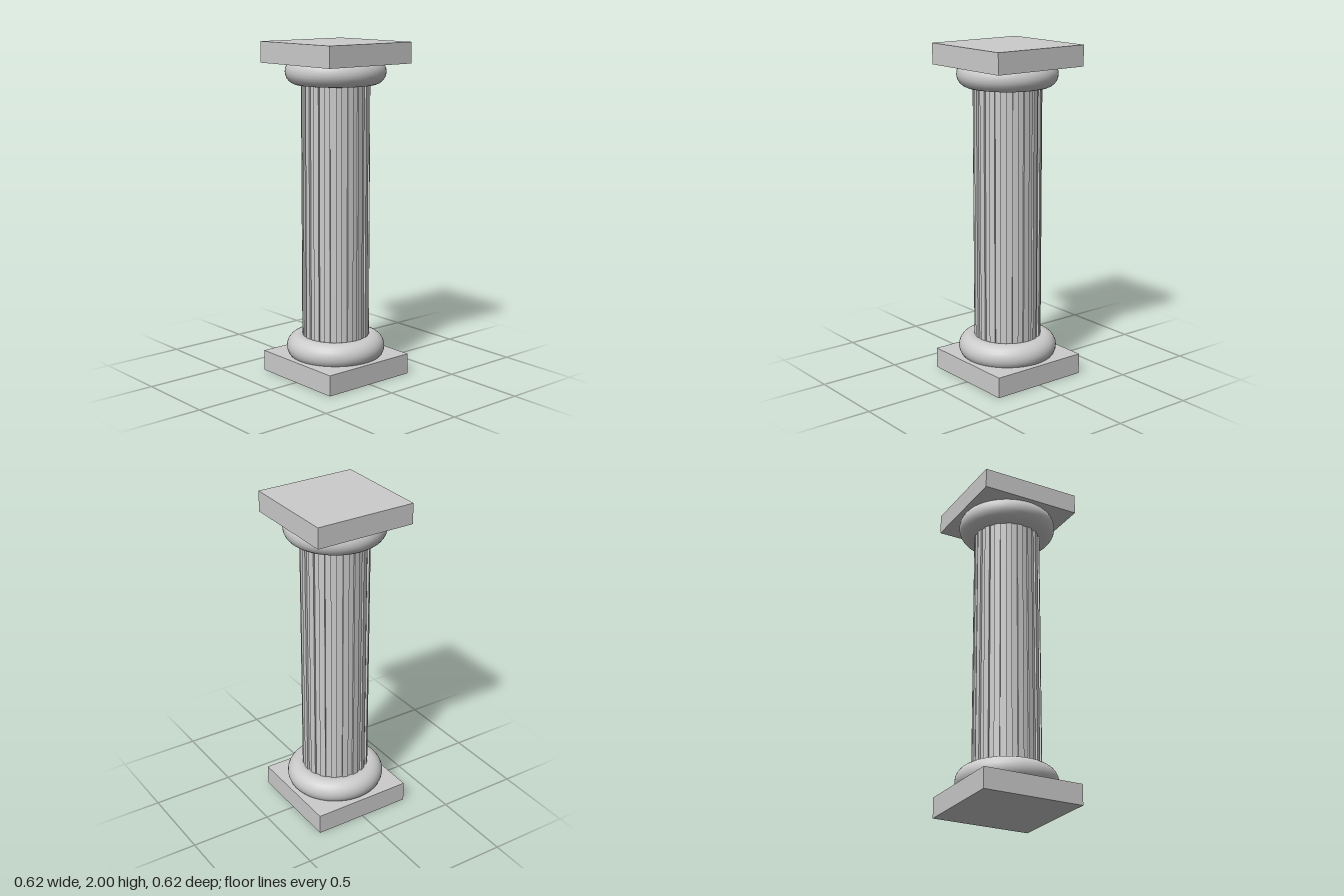
import * as THREE from 'three';

export function createModel() {
  const group = new THREE.Group();
  group.name = 'column';
  const material = new THREE.MeshStandardMaterial({ color: 0xcccccc });

  function add(name, geometry, y) {
    const mesh = new THREE.Mesh(geometry, material);
    mesh.name = name;
    mesh.position.y = y;
    group.add(mesh);
  }

  // Square slabs and rounded rings at both ends
  const slab = new THREE.BoxGeometry(0.62, 0.124, 0.62);
  const ring = new THREE.TorusGeometry(0.22, 0.076, 24, 64).rotateX(Math.PI / 2);
  add('baseSlab', slab, 0.062);
  add('baseRing', ring, 0.173);
  add('topRing', ring, 1.829);
  add('topSlab', slab, 1.938);

  // Fluted shaft: 18 square ridges alternating with 18 shallow grooves
  const ridges = 18, outer = 0.202, inner = 0.19;
  const points = [];
  for (let i = 0; i < ridges * 2; i++) {
    const r = i % 2 === 0 ? outer : inner;
    for (const k of [i, i + 1]) {
      const a = (k * Math.PI) / ridges;
      points.push(new THREE.Vector2(r * Math.sin(a), -r * Math.cos(a)));
    }
  }
  const shaft = new THREE.ExtrudeGeometry(new THREE.Shape(points), { depth: 1.64, bevelEnabled: false });
  shaft.rotateX(-Math.PI / 2);
  add('flutedShaft', shaft, 0.18);

  return group;
}
